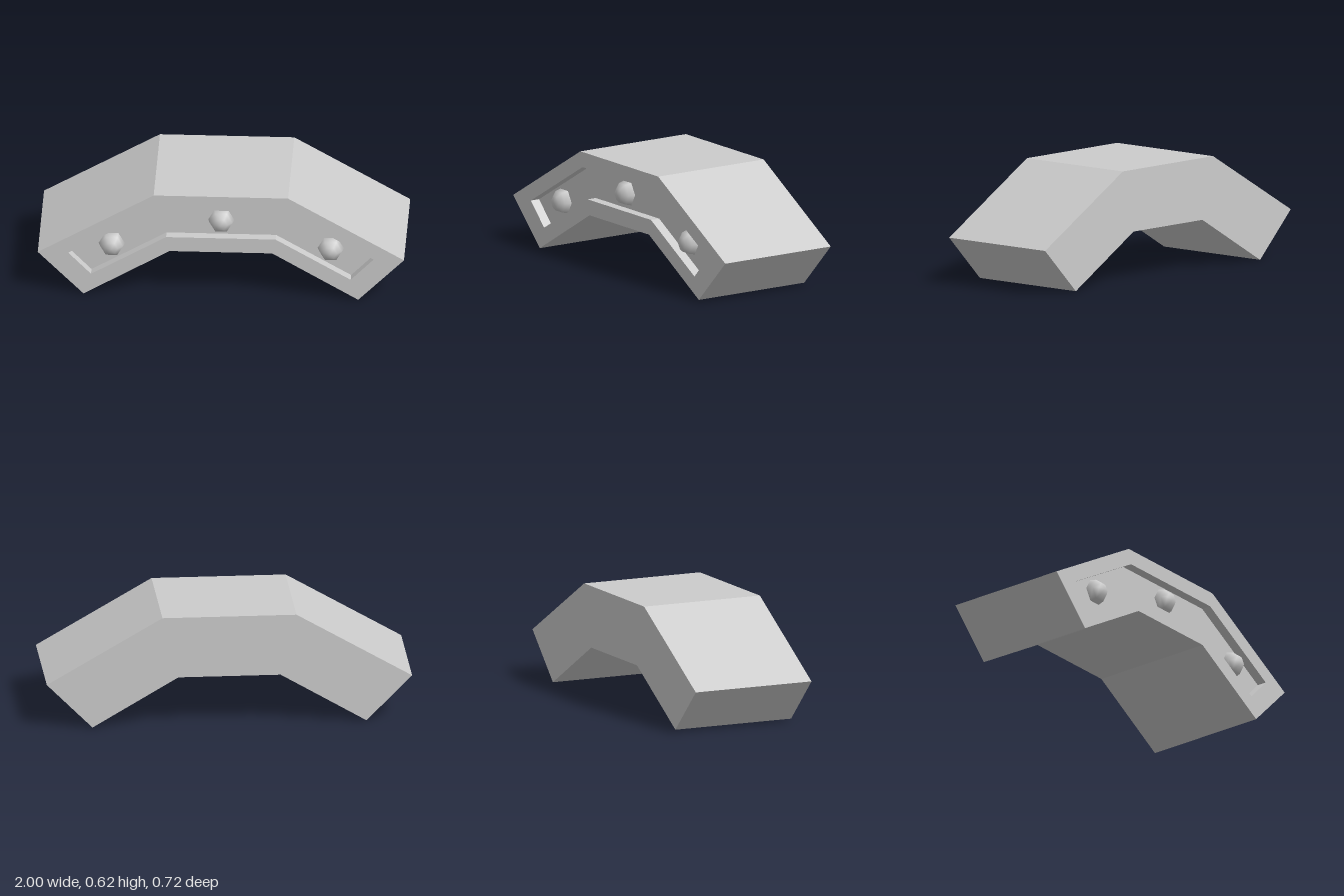
import * as THREE from 'three';
import { mergeGeometries } from 'three/addons/utils/BufferGeometryUtils.js';

const BACK = -0.36, FRONT = 0.345, FLOOR = 0.29;

// Mirrors the right half of an outline (listed top to bottom) into a clockwise loop
function mirrored(half) {
  const right = half.map(([x, y]) => new THREE.Vector2(x, y));
  const left = half.map(([x, y]) => new THREE.Vector2(-x, y)).reverse();
  return [...right, ...left];
}

// Flat quads along a clockwise loop, facing outwards (reverse the loop to face inwards)
function walls(loop, z0, z1) {
  const pos = [];
  loop.forEach((a, i) => {
    const b = loop[(i + 1) % loop.length];
    pos.push(a.x, a.y, z1, b.x, b.y, z1, b.x, b.y, z0);
    pos.push(a.x, a.y, z1, b.x, b.y, z0, a.x, a.y, z0);
  });
  const geo = new THREE.BufferGeometry();
  geo.setAttribute('position', new THREE.Float32BufferAttribute(pos, 3));
  geo.computeVertexNormals();
  return geo;
}

// Flat cap facing +z, or -z when flipped (the outlines are symmetric in x)
function cap(loop, z, hole, flip) {
  const shape = new THREE.Shape(loop);
  if (hole) shape.holes.push(new THREE.Path(hole));
  const geo = new THREE.ShapeGeometry(shape).toNonIndexed();
  geo.deleteAttribute('uv');
  if (flip) geo.rotateY(Math.PI);
  return geo.translate(0, 0, z);
}

export function createModel() {
  const group = new THREE.Group();
  const material = new THREE.MeshStandardMaterial({ color: 0xcccccc });
  const add = (name, geo) => {
    const mesh = new THREE.Mesh(geo, material);
    mesh.name = name;
    group.add(mesh);
    return mesh;
  };

  const outer = mirrored([[0.367, 0.617], [1, 0.251], [0.75, 0], [0.28, 0.275]]);
  const inner = mirrored([[0.347, 0.532], [0.834, 0.251], [0.709, 0.123], [0.299, 0.361]]);

  // Angled arch block with an open front rim
  add('archBody', mergeGeometries([
    walls(outer, BACK, FRONT),
    cap(outer, BACK, null, true),
    cap(outer, FRONT, inner, false),
  ]));

  // Shallow recess sunk into the front
  add('frontRecess', mergeGeometries([
    walls([...inner].reverse(), FLOOR, FRONT),
    cap(inner, FLOOR, null, false),
  ]));

  // Six-sided rounded studs, half sunk into the recess floor
  const studGeo = new THREE.SphereGeometry(0.072, 6, 6).rotateX(Math.PI / 2);
  const studs = [['rightStud', -0.598, 0.287], ['middleStud', 0, 0.447], ['leftStud', 0.598, 0.287]];
  for (const [name, x, y] of studs) add(name, studGeo).position.set(x, y, FLOOR);

  return group;
}
